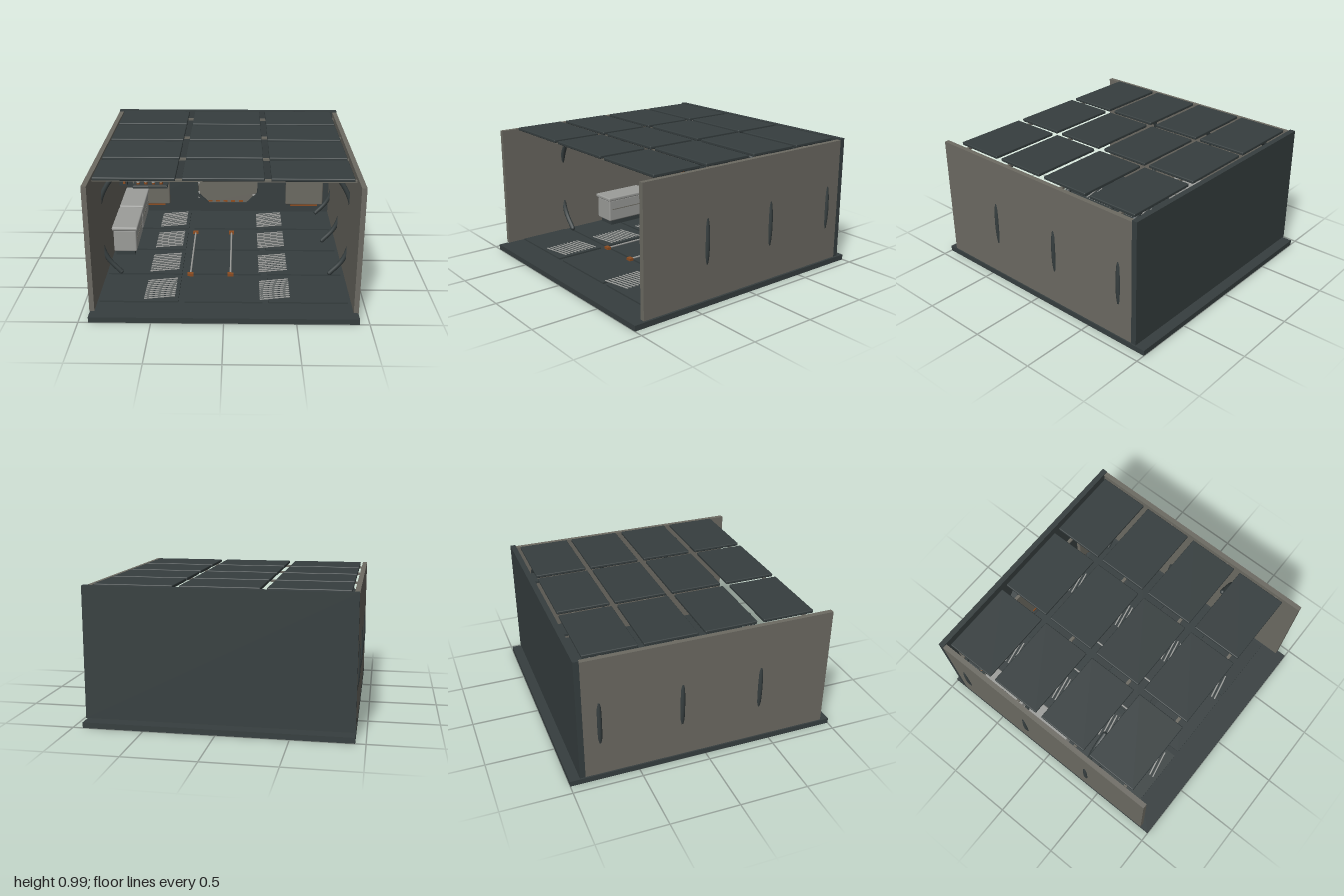
import * as THREE from 'three';
import { RoundedBoxGeometry } from 'three/addons/geometries/RoundedBoxGeometry.js';

function mat(name, color) {
  const m = new THREE.MeshStandardMaterial({ color });
  m.name = name;
  return m;
}

export function createModel() {
  const root = new THREE.Group();
  root.name = 'cargoRoom';
  const dark = mat('dark slate', 0x363e3f);
  const grey = mat('warm grey', 0x6c6a62);
  const light = mat('light grey', 0x9c9d9a);
  const orange = mat('burnt orange', 0x8c4c20);

  function add(parent, name, geometry, material, x = 0, y = 0, z = 0) {
    const m = new THREE.Mesh(geometry, material);
    m.name = name;
    m.position.set(x, y, z);
    parent.add(m);
    return m;
  }
  // Box given by its lower and upper limits on each axis
  function box(parent, name, material, x0, x1, y0, y1, z0, z1, r = 0) {
    const w = x1 - x0, h = y1 - y0, d = z1 - z0;
    const g = r ? new RoundedBoxGeometry(w, h, d, 2, r) : new THREE.BoxGeometry(w, h, d);
    return add(parent, name, g, material, (x0 + x1) / 2, (y0 + y1) / 2, (z0 + z1) / 2);
  }
  function group(name) {
    const g = new THREE.Group();
    g.name = name;
    root.add(g);
    return g;
  }

  // Shell
  box(root, 'base', dark, -0.93, 0.93, 0, 0.04, -1, 1);
  box(root, 'backWall', dark, -0.93, 0.93, 0.05, 0.98, -0.93, -0.89);
  for (const s of [-1, 1]) {
    const x = s * 0.9125;
    box(root, 'sideWall', grey, x - 0.0175, x + 0.0175, 0.05, 0.97, -0.89, 0.93);
  }

  // Ceiling and floor panels on the same grid
  const columns = [[-0.88, -0.325], [-0.28, 0.27], [0.315, 0.87]];
  const rows = [[-0.86, -0.48], [-0.44, -0.06], [-0.01, 0.37], [0.42, 0.8]];
  const ceiling = group('ceiling'), floor = group('floor');
  for (const [x0, x1] of columns) {
    for (const [z0, z1] of rows) {
      box(ceiling, 'ceilingPanel', dark, x0, x1, 0.962, 0.985, z0, z1, 0.006);
      box(floor, 'floorPanel', dark, x0, x1, 0.048, 0.06, z0, z1);
    }
  }
  for (const z of [-0.74, -0.22, 0.3, 0.74]) {
    box(ceiling, 'ceilingBeam', grey, -0.89, 0.89, 0.94, 0.955, z - 0.011, z + 0.011);
  }
  for (const s of [-1, 1]) {
    box(ceiling, 'ceilingRail', dark, s * 0.415 - 0.075, s * 0.415 + 0.075, 0.91, 0.925, -0.88, -0.84);
  }

  // Slanted grip bars on the floor
  for (const x of [-0.46, 0.36]) {
    for (const [z0, z1] of rows) {
      for (let i = 0; i < 10; i++) {
        const z = (z0 + z1) / 2 - 0.135 + i * 0.03;
        add(floor, 'gripBar', new THREE.BoxGeometry(0.22, 0.006, 0.01), light, x, 0.062, z).rotation.y = 0.2;
      }
    }
  }
  // Tie-down rods
  for (const x of [-0.26, 0.04]) {
    const rod = add(floor, 'tieRod', new THREE.CylinderGeometry(0.007, 0.007, 0.76, 8), light, x, 0.07, 0.02);
    rod.rotation.x = Math.PI / 2;
    for (const z of [-0.37, 0.4]) {
      box(floor, 'rodClamp', orange, x - 0.022, x + 0.022, 0.06, 0.08, z - 0.016, z + 0.016);
    }
  }

  // Curved ribs bulging through the side walls
  const arc = [[0.69, 0.925], [0.79, 0.86], [0.867, 0.755], [0.911, 0.64], [0.927, 0.47],
    [0.911, 0.3], [0.867, 0.19], [0.78, 0.09]];
  for (const s of [-1, 1]) {
    const curve = new THREE.CatmullRomCurve3(arc.map(([x, y]) => new THREE.Vector3(s * x, y, 0)));
    const tube = new THREE.TubeGeometry(curve, 40, 0.018, 10);
    for (const z of [-0.775, -0.185, 0.4]) {
      add(root, 'wallRib', tube, dark, 0, 0, z);
      for (const end of [arc[0], arc[arc.length - 1]]) {
        add(root, 'ribEnd', new THREE.SphereGeometry(0.018, 10, 8), dark, s * end[0], end[1], z);
      }
    }
  }

  // Octagonal hatch
  const hatch = group('hatch');
  function octagon(x0, x1, y0, y1, c) {
    return new THREE.Shape([[x0 + c, y0], [x1 - c, y0], [x1, y0 + c], [x1, y1 - c],
      [x1 - c, y1], [x0 + c, y1], [x0, y1 - c], [x0, y0 + c]].map(([x, y]) => new THREE.Vector2(x, y)));
  }
  const plate = (shape, depth) => new THREE.ExtrudeGeometry(shape, { depth, bevelEnabled: false });
  const frame = octagon(-0.29, 0.285, 0.138, 0.768, 0.1);
  frame.holes.push(octagon(-0.262, 0.262, 0.148, 0.762, 0.095));
  add(hatch, 'hatchFrame', plate(frame, 0.05), dark, 0, 0, -0.89);
  add(hatch, 'hatchDoor', plate(octagon(-0.262, 0.262, 0.148, 0.762, 0.095), 0.025), grey, 0, 0, -0.89);
  box(hatch, 'windowFrame', light, -0.083, 0.075, 0.415, 0.595, -0.866, -0.856);
  box(hatch, 'windowRim', grey, -0.075, 0.067, 0.423, 0.587, -0.857, -0.852);
  box(hatch, 'windowPane', dark, -0.062, 0.054, 0.435, 0.577, -0.853, -0.848);
  box(hatch, 'handle', orange, 0.14, 0.18, 0.355, 0.41, -0.866, -0.845);
  for (let i = 0; i < 5; i++) {
    const x = -0.155 + i * 0.068;
    box(hatch, 'warningStrip', orange, x - 0.018, x + 0.018, 0.152, 0.166, -0.866, -0.858);
  }
  for (const y of [0.22, 0.36, 0.645]) {
    box(hatch, 'hinge', light, -0.262, -0.247, y - 0.03, y + 0.03, -0.866, -0.85);
    box(hatch, 'latch', light, 0.222, 0.262, y - 0.007, y + 0.007, -0.866, -0.85);
  }

  // Wall panels with vents on both sides of the hatch
  for (const s of [-1, 1]) {
    const g = group('wallCabinet');
    const x = s * 0.68;
    box(g, 'cabinetPanel', grey, x - 0.165, x + 0.165, 0.125, 0.87, -0.895, -0.862, 0.012);
    box(g, 'topTrim', light, x - 0.12, x + 0.12, 0.84, 0.85, -0.864, -0.857);
    box(g, 'ventBack', dark, x - 0.12, x + 0.12, 0.715, 0.8, -0.864, -0.858);
    for (let i = 0; i < 4; i++) {
      const y = 0.73 + i * 0.019;
      box(g, 'ventSlat', dark, x - 0.11, x + 0.11, y - 0.003, y + 0.003, -0.859, -0.847);
    }
    box(g, 'floorMarker', orange, x - 0.12, x + 0.12, 0.112, 0.122, -0.89, -0.87);
    for (const y of [0.87, 0.9]) {
      add(g, 'signalLamp', new THREE.SphereGeometry(0.009, 10, 8), orange, s * 0.83, y, -0.87);
    }
  }

  // Shelf with canisters
  const shelf = group('canisterShelf');
  box(shelf, 'shelfBack', dark, -0.83, -0.53, 0.32, 0.71, -0.862, -0.85);
  for (const y of [0.33, 0.5, 0.695]) {
    box(shelf, 'shelfBoard', dark, -0.83, -0.525, y - 0.012, y + 0.012, -0.855, -0.74, 0.005);
  }
  for (const y of [0.342, 0.512]) {
    box(shelf, 'shelfLip', grey, -0.82, -0.535, y, y + 0.006, -0.742, -0.736);
    for (let i = 0; i < 4; i++) {
      const x = -0.785 + i * 0.067, h = i % 2 ? 0.074 : 0.06;
      add(shelf, 'canister', new THREE.CylinderGeometry(0.015, 0.015, h, 12), orange, x, y + h / 2, -0.79);
      add(shelf, 'canisterBand', new THREE.CylinderGeometry(0.017, 0.017, 0.014, 12), light, x, y + h * 0.4, -0.79);
      add(shelf, 'canisterCap', new THREE.CylinderGeometry(0.01, 0.01, 0.01, 12), grey, x, y + h + 0.004, -0.79);
    }
  }

  // Storage chests along the right wall
  for (const [z0, z1] of [[-0.33, 0.08], [-0.78, -0.37]]) {
    const g = group('storageChest');
    box(g, 'chestBody', light, -0.88, -0.7, 0.1, 0.285, z0, z1, 0.012);
    box(g, 'chestLid', light, -0.89, -0.69, 0.28, 0.31, z0 - 0.01, z1 + 0.01, 0.01);
    box(g, 'chestSeam', grey, -0.87, -0.696, 0.2, 0.206, z0 + 0.03, z1 - 0.03);
    box(g, 'chestFoot', dark, -0.87, -0.72, 0.06, 0.102, z0 + 0.03, z1 - 0.03);
  }

  // Small wall control
  box(root, 'wallControl', dark, -0.895, -0.83, 0.46, 0.52, -0.5, -0.44);
  box(root, 'controlButton', orange, -0.865, -0.845, 0.475, 0.505, -0.441, -0.434);
  return root;
}
